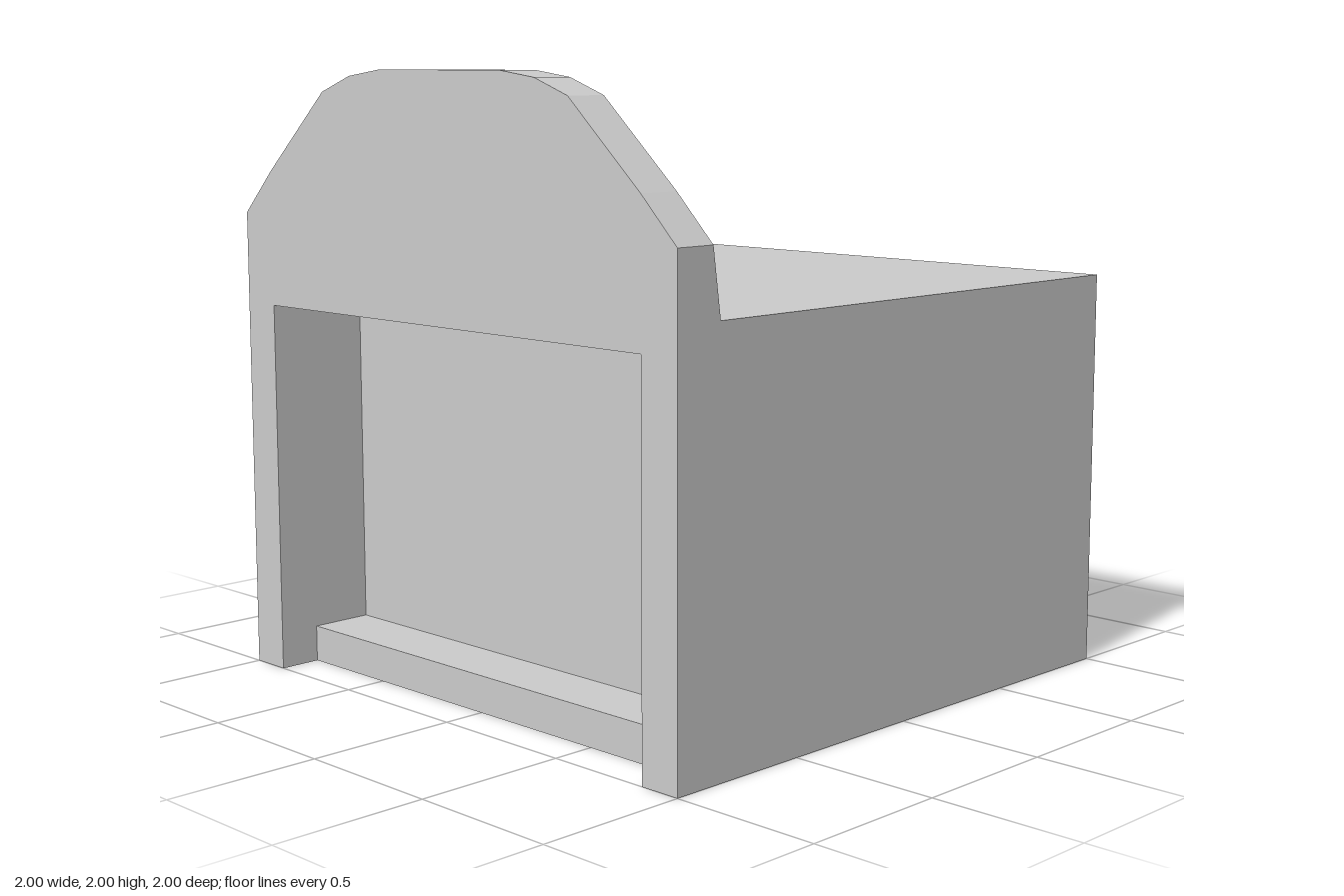
import * as THREE from 'three';

const material = new THREE.MeshStandardMaterial({ color: 0xcccccc, flatShading: true });
const thinMaterial = new THREE.MeshStandardMaterial({ color: 0xcccccc, flatShading: true, side: THREE.DoubleSide });

const INNER = 0.86;   // half width of the recess and underside
const SILL = 0.12;    // height of the underside and the sill
const LINTEL = 1.23;  // top of the recess
const ROOF = 1.32;    // height of the flat body
const RECESS_Z = 0.65; // back of the recess
const FRAME_Z = 0.86;  // back of the front frame

// right half of the raised front's outline, centre to side
const half = [[0.28, 2], [0.43, 1.98], [0.57, 1.93], [0.86, 1.67], [1, 1.53]];
const crest = [...half.map(([x, y]) => [-x, y]).reverse(), ...half];

// extrude a cross-section between two z positions
function slab(name, points, z0, z1) {
  const shape = new THREE.Shape(points.map(([x, y]) => new THREE.Vector2(x, y)));
  const geometry = new THREE.ExtrudeGeometry(shape, { depth: z1 - z0, bevelEnabled: false });
  geometry.translate(0, 0, z0);
  const mesh = new THREE.Mesh(geometry, material);
  mesh.name = name;
  return mesh;
}

// sloping back of the raised front, from its crest down to the roof
function taperedBack() {
  const footZ = 0.83;
  const v = [];
  for (let i = 0; i < crest.length - 1; i++) {
    const [x0, y0] = crest[i];
    const [x1, y1] = crest[i + 1];
    v.push(x0, y0, FRAME_Z, x1, y1, FRAME_Z, x1, ROOF, footZ);
    v.push(x0, y0, FRAME_Z, x1, ROOF, footZ, x0, ROOF, footZ);
  }
  // end triangles
  v.push(1, 1.53, FRAME_Z, 1, ROOF, FRAME_Z, 1, ROOF, footZ);
  v.push(-1, 1.53, FRAME_Z, -1, ROOF, footZ, -1, ROOF, FRAME_Z);
  const geometry = new THREE.BufferGeometry();
  geometry.setAttribute('position', new THREE.Float32BufferAttribute(v, 3));
  geometry.computeVertexNormals();
  const mesh = new THREE.Mesh(geometry, material);
  mesh.name = 'raisedFrontBack';
  return mesh;
}

// sill across the recess, hollow and open underneath
function sill() {
  const geometry = new THREE.BoxGeometry(2 * INNER, SILL, FRAME_Z - RECESS_Z);
  const index = Array.from(geometry.index.array);
  index.splice(18, 6); // drop the bottom face
  geometry.setIndex(index);
  geometry.clearGroups();
  geometry.translate(0, SILL / 2, (FRAME_Z + RECESS_Z) / 2);
  const mesh = new THREE.Mesh(geometry, thinMaterial);
  mesh.name = 'sill';
  return mesh;
}

export function createModel() {
  const group = new THREE.Group();
  group.name = 'hood';

  // solid rear body with sloping runners along the bottom
  group.add(slab('body',
    [[-1, 0], [-INNER, SILL], [INNER, SILL], [1, 0], [1, ROOF], [-1, ROOF]], -1, RECESS_Z));

  // walls and ceiling around the recess
  group.add(slab('recessSurround',
    [[-1, 0], [-INNER, SILL], [-INNER, LINTEL], [INNER, LINTEL], [INNER, SILL], [1, 0], [1, ROOF], [-1, ROOF]],
    RECESS_Z, FRAME_Z));

  // front frame with posts and raised crest
  group.add(slab('frontFrame',
    [[-1, 0], [-INNER, 0], [-INNER, LINTEL], [INNER, LINTEL], [INNER, 0], [1, 0], ...[...crest].reverse()],
    FRAME_Z, 1));

  group.add(taperedBack(), sill());
  return group;
}
